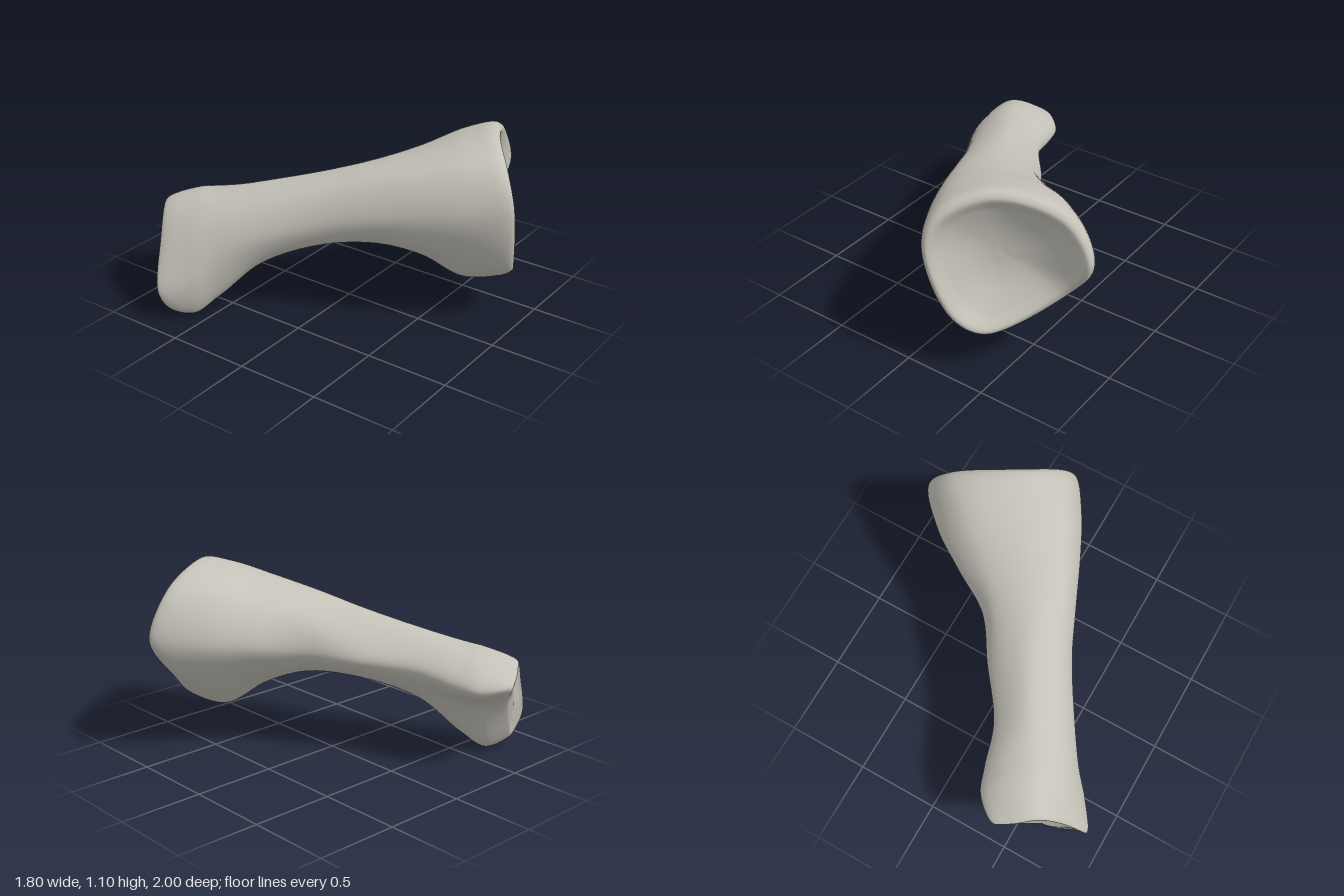
import * as THREE from 'three';
import { mergeVertices } from 'three/addons/utils/BufferGeometryUtils.js';

// Directions of the slanted shaft: ALONG runs back to front, ACROSS sideways.
const ALONG = new THREE.Vector3(0.55, 0, 0.835);
const ACROSS = new THREE.Vector3(0.835, 0, -0.55);

const place = (u, y, t) => new THREE.Vector3(0, y, 0)
  .addScaledVector(ACROSS, u).addScaledVector(ALONG, t);

// A cross-section: eight [across, height, along] points, anticlockwise from the +across side.
const section = (t, points) => points.map(([u, y, own = t]) => [u, y, own]);

// Shrink a section towards a centre, following a rounded bowl, to close an end.
const shrink = (ring, [cu, cy, ct], k) => ring.map(([u, y, t]) =>
  [cu + (u - cu) * k, cy + (y - cy) * k, ct + (t - ct) * k * k]);

// Smooth surface through closed cross-sections.
function loft(rings, around, steps) {
  const loops = rings.map((ring) => {
    const curve = new THREE.CatmullRomCurve3(ring.map((p) => place(...p)), true);
    return Array.from({ length: around }, (_, i) => curve.getPoint(i / around));
  });
  const rows = (rings.length - 1) * steps;
  const positions = [], index = [];
  for (let i = 0; i < around; i++) {
    const line = new THREE.CatmullRomCurve3(loops.map((loop) => loop[i]));
    for (let j = 0; j <= rows; j++) positions.push(...line.getPoint(j / rows).toArray());
  }
  for (let i = 0; i < around; i++) {
    for (let j = 0; j < rows; j++) {
      const a = i * (rows + 1) + j, b = ((i + 1) % around) * (rows + 1) + j;
      index.push(a, b, b + 1, a, b + 1, a + 1);
    }
  }
  const geometry = new THREE.BufferGeometry();
  geometry.setAttribute('position', new THREE.Float32BufferAttribute(positions, 3));
  geometry.setIndex(index);
  const merged = mergeVertices(geometry, 1e-5);
  merged.computeVertexNormals();
  return merged;
}

export function createModel() {
  const group = new THREE.Group();
  group.name = 'bone';
  const boneGrey = new THREE.MeshStandardMaterial({ color: 0xc4c1b8 });
  boneGrey.name = 'bone grey';

  // Back end: a side lobe and a tongue reaching down to the ground
  const backEnd = section(-1.05, [
    [0.19, 0.52, -1.07], [0.09, 0.575, -1.085], [-0.06, 0.605, -1.08], [-0.21, 0.46, -1.085],
    [-0.36, 0.17, -1.09], [-0.31, 0.05, -1.04], [-0.2, 0.09, -1.03], [-0.03, 0.36, -1.03]]);
  const backBulge = section(-0.9, [
    [0.25, 0.5], [0.15, 0.62], [-0.06, 0.675], [-0.25, 0.53],
    [-0.36, 0.22], [-0.3, 0.01], [-0.18, 0.01], [0, 0.33]]);
  const backNeck = section(-0.75, [
    [0.22, 0.52], [0.13, 0.64], [-0.07, 0.7], [-0.24, 0.6],
    [-0.33, 0.38], [-0.28, 0.13], [-0.18, 0.09], [0.02, 0.35]]);

  // Shaft
  const shaft = [
    section(-0.5, [[0.15, 0.57], [0.09, 0.67], [-0.06, 0.755], [-0.24, 0.68],
      [-0.32, 0.5], [-0.25, 0.33], [-0.15, 0.3], [0.04, 0.42]]),
    section(-0.15, [[0.165, 0.6], [0.1, 0.73], [-0.08, 0.835], [-0.26, 0.78],
      [-0.33, 0.6], [-0.26, 0.46], [-0.1, 0.425], [0.05, 0.48]]),
    section(0.15, [[0.175, 0.63], [0.12, 0.81], [-0.1, 0.915], [-0.29, 0.87],
      [-0.375, 0.66], [-0.28, 0.49], [-0.09, 0.44], [0.07, 0.5]]),
    section(0.42, [[0.3, 0.67], [0.19, 0.89], [-0.1, 0.99], [-0.33, 0.93],
      [-0.42, 0.7], [-0.31, 0.46], [-0.09, 0.35], [0.15, 0.47]]),
  ];

  // Front head: flared, with a rim around a hollow dish
  const head = section(0.68, [
    [0.41, 0.7], [0.27, 0.98], [-0.08, 1.07], [-0.35, 0.985],
    [-0.45, 0.74], [-0.32, 0.4], [-0.08, 0.19], [0.27, 0.45]]);
  const rim = section(0.9, [
    [0.455, 0.72, 0.94], [0.325, 0.99, 0.88], [-0.08, 1.095, 0.82], [-0.365, 0.98, 0.86],
    [-0.44, 0.78, 0.9], [-0.295, 0.34, 0.92], [-0.1, 0.235, 0.9], [0.32, 0.47, 0.86]]);
  const lip = section(0.92, [
    [0.425, 0.72, 0.97], [0.3, 0.96, 0.915], [-0.075, 1.06, 0.855], [-0.345, 0.95, 0.89],
    [-0.415, 0.78, 0.925], [-0.27, 0.36, 0.955], [-0.11, 0.285, 0.965], [0.29, 0.495, 0.885]]);

  const tail = [-0.1, 0.4, -1.065], dish = [-0.02, 0.67, 0.77];
  const bone = new THREE.Mesh(loft([
    ...[0, 0.35, 0.7].map((k) => shrink(backEnd, tail, k)),
    backEnd, backBulge, backNeck, ...shaft, head, rim, lip,
    ...[0.8, 0.5, 0.25, 0].map((k) => shrink(lip, dish, k)),
  ], 96, 8), boneGrey);
  bone.name = 'boneBody';
  group.add(bone);
  return group;
}
